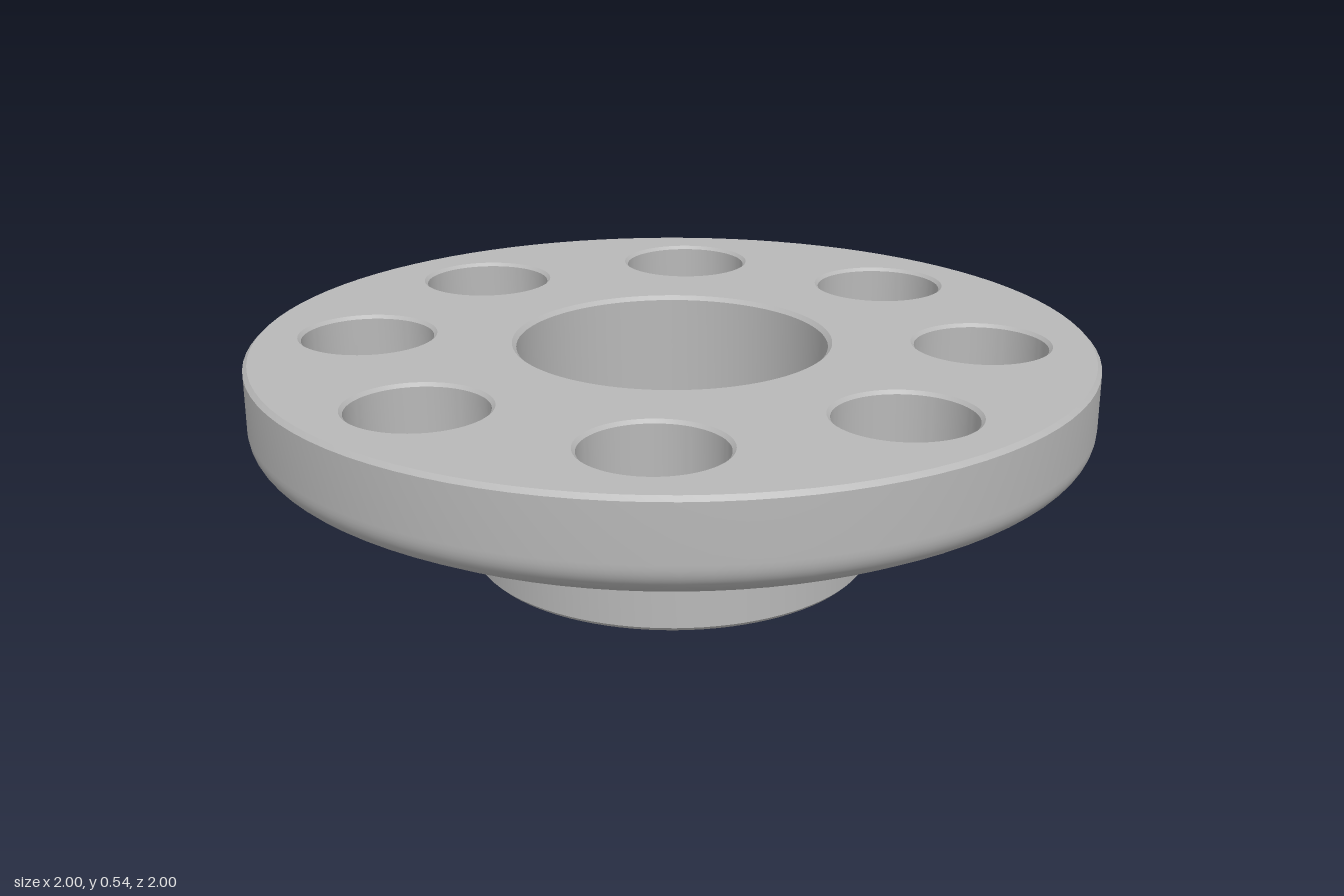
import * as THREE from 'three';
import { toCreasedNormals } from 'three/addons/utils/BufferGeometryUtils.js';

const SEGMENTS = 96;
const TOP = 0.535, UNDER = 0.297, BEVEL = 0.01;
const BORE = 0.37, HUB = 0.485, UNDER_R = 0.905;
const HOLE = 0.158, HOLE_RING = 0.731, HOLE_COUNT = 8, HOLE_BEVEL = 0.008;

export function createModel() {
  const group = new THREE.Group();
  const steel = new THREE.MeshStandardMaterial({ color: 0xb8b8b8 });
  steel.name = 'steel grey';

  const add = (name, geometry) => {
    const mesh = new THREE.Mesh(geometry, steel);
    mesh.name = name;
    group.add(mesh);
    return mesh;
  };

  // Upward profiles face outward, downward profiles face inward
  const turned = (points) => toCreasedNormals(
    new THREE.LatheGeometry(points.map(([r, y]) => new THREE.Vector2(r, y)), SEGMENTS), 0.5);

  const holeCentres = Array.from({ length: HOLE_COUNT }, (_, i) => {
    const a = (i / HOLE_COUNT) * Math.PI * 2;
    return [Math.cos(a) * HOLE_RING, Math.sin(a) * HOLE_RING];
  });

  // Flat ring pierced by the bolt holes
  const piercedRing = (inner, outer, y, facing) => {
    const shape = new THREE.Shape().absarc(0, 0, outer, 0, Math.PI * 2);
    const cut = (x, z, r) => shape.holes.push(new THREE.Path().absarc(x, z, r, 0, Math.PI * 2, true));
    cut(0, 0, inner);
    holeCentres.forEach(([x, z]) => cut(x, z, HOLE + HOLE_BEVEL));
    return new THREE.ShapeGeometry(shape, SEGMENTS / 2)
      .rotateX(-facing * Math.PI / 2).translate(0, y, 0);
  };

  add('flangeTop', piercedRing(BORE + BEVEL, 1 - BEVEL, TOP, 1));
  add('flangeUnderside', piercedRing(HUB, UNDER_R, UNDER, -1));

  // Rim: rounded lower shoulder, straight wall, small top bevel
  const shoulder = new THREE.CubicBezierCurve(
    new THREE.Vector2(0.945, 0.319), new THREE.Vector2(0.978, 0.337),
    new THREE.Vector2(1, 0.355), new THREE.Vector2(1, 0.395));
  add('flangeRim', turned([
    [UNDER_R, UNDER],
    ...shoulder.getPoints(10).map((p) => [p.x, p.y]),
    [1, TOP - BEVEL], [1 - BEVEL, TOP],
  ]));

  // Central bore and hub in one turned profile
  add('hubAndBore', turned([
    [BORE + BEVEL, TOP], [BORE, TOP - BEVEL],
    [BORE, BEVEL], [BORE + BEVEL, 0],
    [HUB - BEVEL, 0], [HUB, BEVEL], [HUB, UNDER],
  ]));

  // Bolt hole walls, bevelled at both ends
  const holeWall = turned([
    [HOLE + HOLE_BEVEL, TOP], [HOLE, TOP - HOLE_BEVEL],
    [HOLE, UNDER + HOLE_BEVEL], [HOLE + HOLE_BEVEL, UNDER],
  ]);
  holeCentres.forEach(([x, z], i) => add(`boltHole${i + 1}`, holeWall).position.set(x, 0, z));

  return group;
}
